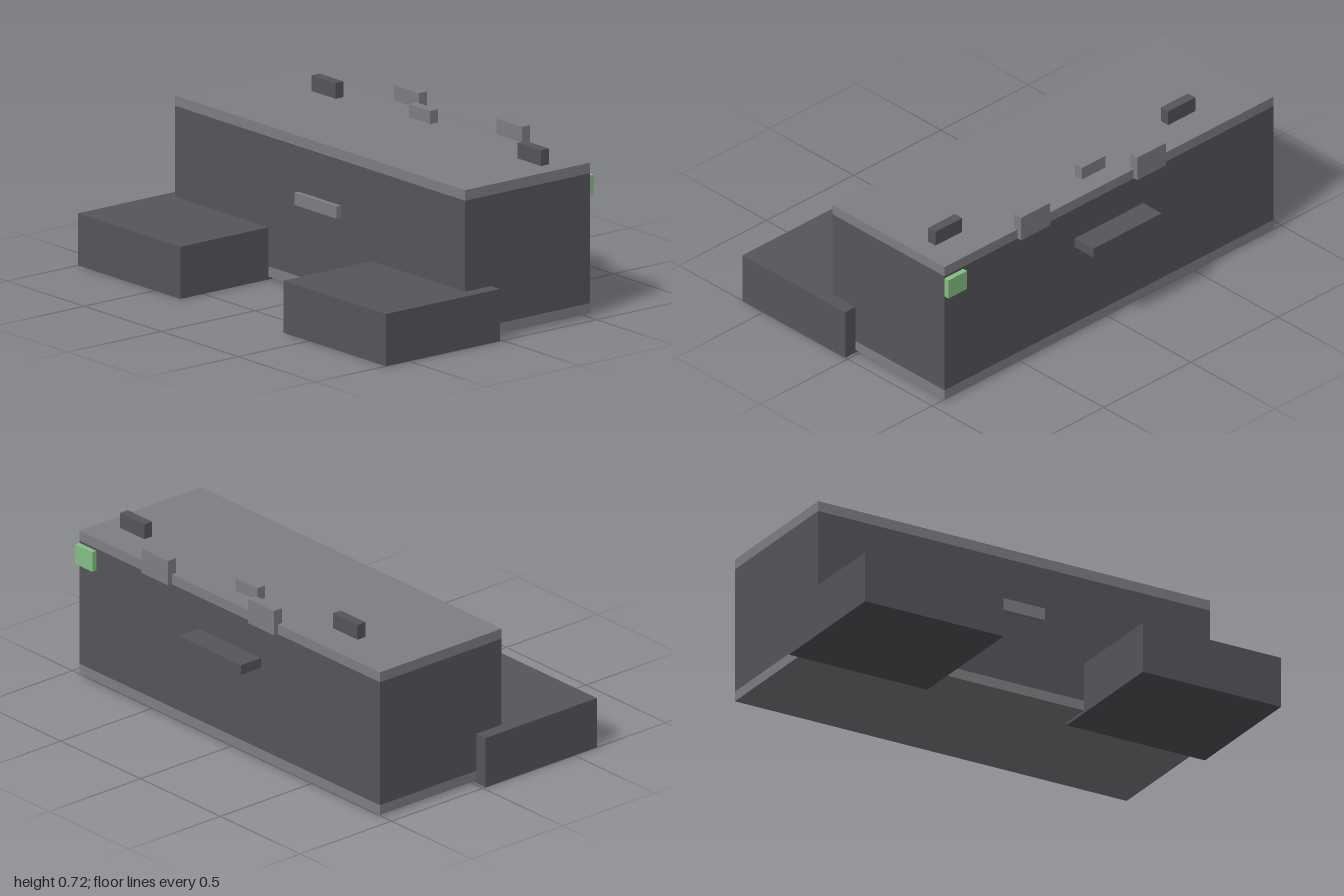
import * as THREE from 'three';

const material = (name, color) => {
  const m = new THREE.MeshStandardMaterial({ color });
  m.name = name;
  return m;
};

export function createModel() {
  const dark = material('darkGrey', 0x56555b);
  const light = material('lightGrey', 0x7f7e83);
  const green = material('green', 0x84c184);
  const model = new THREE.Group();
  model.name = 'model';

  // Box given by its extents on each axis
  const box = (name, mat, [x0, x1], [y0, y1], [z0, z1]) => {
    const mesh = new THREE.Mesh(new THREE.BoxGeometry(x1 - x0, y1 - y0, z1 - z0), mat);
    mesh.position.set((x0 + x1) / 2, (y0 + y1) / 2, (z0 + z1) / 2);
    mesh.name = name;
    model.add(mesh);
  };

  // Case: base band, body and lid
  const width = [-0.943, 0.941], depth = [-0.513, 0.152];
  box('baseBand', light, width, [0.012, 0.056], depth);
  box('body', dark, width, [0.056, 0.612], depth);
  box('lid', light, width, [0.612, 0.657], depth);

  // Front feet
  box('rightFoot', dark, [-1, -0.335], [0, 0.223], [0.014, 0.623]);
  box('leftFoot', dark, [0.335, 1], [0, 0.223], [0.014, 0.623]);

  // Front handle and rear shelf
  box('frontHandle', light, [-0.14, 0.135], [0.365, 0.418], [0.152, 0.175]);
  box('rearShelf', dark, [-0.197, 0.195], [0.425, 0.468], [-0.623, -0.513]);

  // Tabs over the rear edge of the lid
  for (const x of [[-0.305, -0.143], [0.36, 0.524]]) {
    box('rearTab', light, x, [0.614, 0.724], [-0.536, -0.493]);
  }

  // Blocks standing on the lid
  for (const x of [[-0.636, -0.481], [0.7, 0.853]]) {
    box('lidBlock', dark, x, [0.657, 0.724], [-0.368, -0.325]);
  }
  box('centreBlock', light, [-0.07, 0.066], [0.657, 0.713], [-0.422, -0.38]);

  // Indicator on the back
  box('rearIndicator', green, [0.834, 0.941], [0.514, 0.602], [-0.536, -0.513]);

  return model;
}
